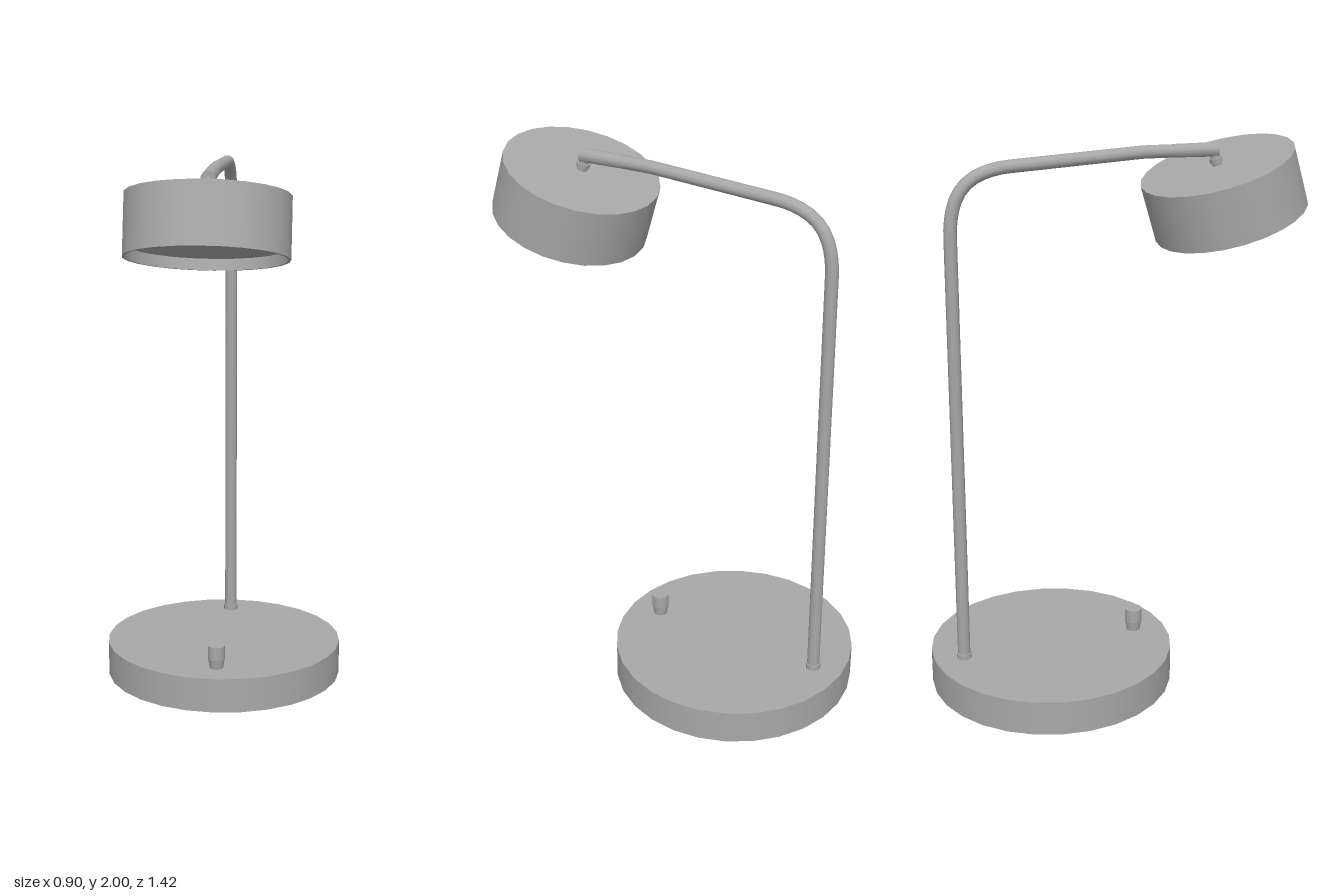
import * as THREE from 'three';

export function createModel() {
  const lamp = new THREE.Group();
  lamp.name = 'deskLamp';
  const grey = new THREE.MeshStandardMaterial({ color: 0xa8a8a8 });
  grey.name = 'grey metal';

  const add = (name, geometry, x, y, z, parent = lamp) => {
    const mesh = new THREE.Mesh(geometry, grey);
    mesh.name = name;
    mesh.position.set(x, y, z);
    parent.add(mesh);
    return mesh;
  };
  const cylinder = (top, bottom, height, sides) =>
    new THREE.CylinderGeometry(top, bottom, height, sides);

  // Round base with a dimmer knob and a collar around the pole
  add('base', cylinder(0.45, 0.45, 0.13, 28), 0, 0.065, -0.26);
  add('knob', cylinder(0.032, 0.032, 0.05, 12), 0, 0.192, 0.07);
  add('knobStem', cylinder(0.032, 0.025, 0.045, 12), 0, 0.149, 0.07);
  add('poleCollar', cylinder(0.027, 0.027, 0.02, 12), 0, 0.14, -0.6);

  // Pole and arm: one tube with a rounded bend
  const v = (y, z) => new THREE.Vector3(0, y, z);
  const path = new THREE.CurvePath();
  path.add(new THREE.LineCurve3(v(0.13, -0.6), v(1.75, -0.597)));
  path.add(new THREE.CubicBezierCurve3(v(1.75, -0.597), v(1.9, -0.59), v(1.95, -0.53), v(1.963, -0.4)));
  path.add(new THREE.LineCurve3(v(1.963, -0.4), v(1.977, 0.1)));
  path.add(new THREE.LineCurve3(v(1.977, 0.1), v(1.967, 0.37)));
  add('poleAndArm', new THREE.TubeGeometry(path, 80, 0.023, 10), 0, 0, 0);

  // Sleeve at the arm's end and the swivel holding the shade
  const sleeve = add('armSleeve', cylinder(0.026, 0.024, 0.17, 10), 0, 1.97, 0.295);
  sleeve.rotation.x = Math.PI / 2 + 0.04;

  // Tilted shade: closed drum with a shallow recess underneath
  const head = new THREE.Group();
  head.name = 'lampHead';
  head.position.set(0, 1.81, 0.41);
  head.rotation.x = -0.28;
  lamp.add(head);
  const R = 0.281, r = 0.272, h = 0.106, recess = -0.066;
  const turned = (...points) =>
    new THREE.LatheGeometry(points.map(([x, y]) => new THREE.Vector2(x, y)), 24);
  add('shadeWall', turned([R, -h], [R, h]), 0, 0, 0, head);
  add('shadeTop', turned([R, h], [0, h]), 0, 0, 0, head);
  add('shadeRim', turned([r, -h], [R, -h]), 0, 0, 0, head);
  add('shadeInnerWall', turned([r, recess], [r, -h]), 0, 0, 0, head);
  add('diffuser', turned([0, recess], [r, recess]), 0, 0, 0, head);
  add('swivelPin', cylinder(0.018, 0.018, 0.07, 10), 0, h + 0.03, 0, head);
  add('swivelCollar', cylinder(0.024, 0.024, 0.018, 10), 0, h + 0.02, 0, head);

  return lamp;
}
